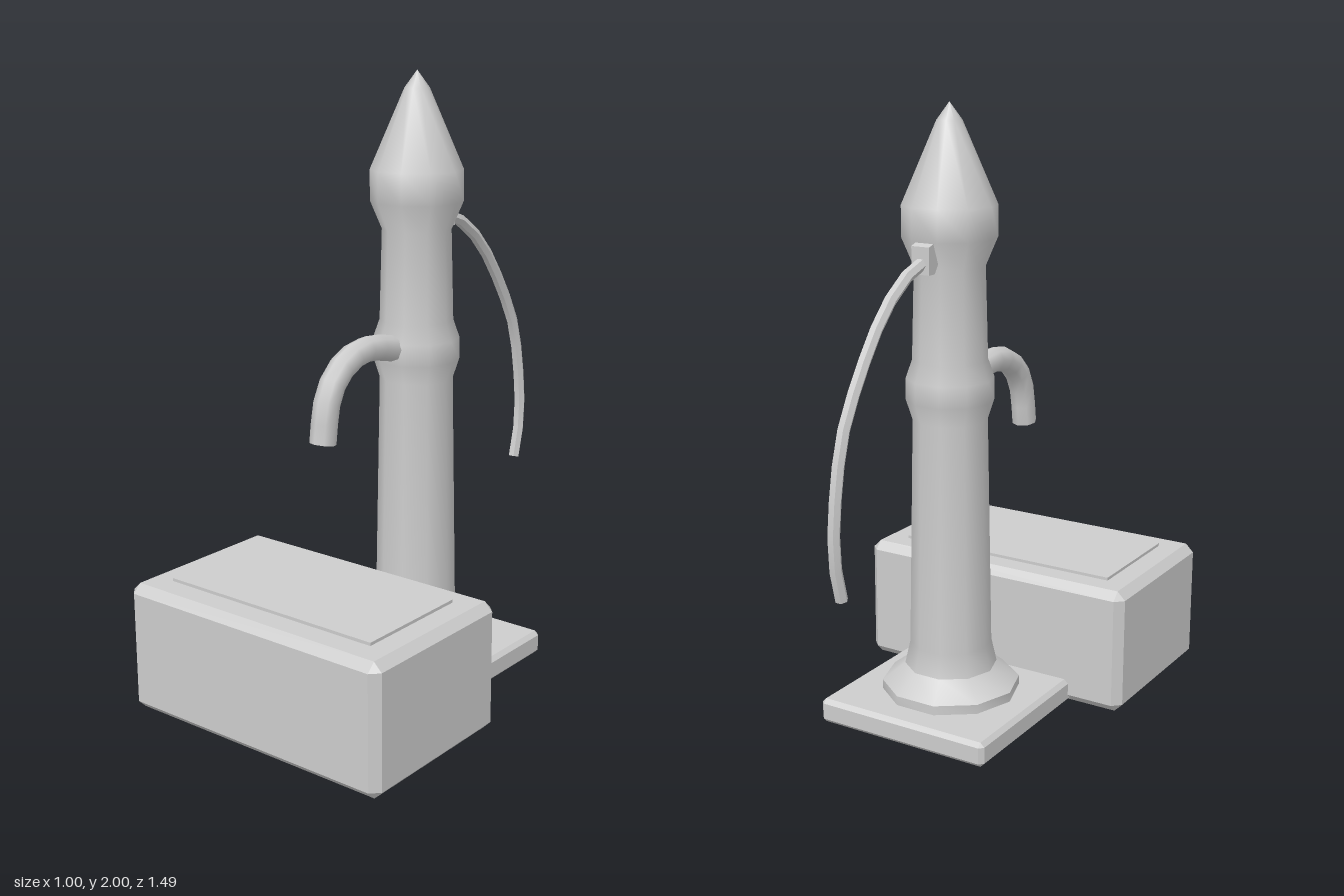
import * as THREE from 'three';
import { ConvexGeometry } from 'three/addons/geometries/ConvexGeometry.js';
import { toCreasedNormals } from 'three/addons/utils/BufferGeometryUtils.js';

const V = (x, y, z) => new THREE.Vector3(x, y, z);

// Box between two corners with every edge cut by a flat chamfer c
function chamferBox(min, max, c) {
  const centre = min.clone().add(max).multiplyScalar(0.5);
  const half = max.clone().sub(min).multiplyScalar(0.5);
  const points = [];
  for (const sx of [-1, 1]) for (const sy of [-1, 1]) for (const sz of [-1, 1]) {
    for (let axis = 0; axis < 3; axis++) {
      const h = half.clone().subScalar(c);
      h.setComponent(axis, half.getComponent(axis));
      points.push(V(sx * h.x, sy * h.y, sz * h.z).add(centre));
    }
  }
  return new ConvexGeometry(points);
}

// Ten-sided turned part from [radius, height] pairs
function turned(profile) {
  return new THREE.LatheGeometry(profile.map(([r, y]) => new THREE.Vector2(r, y)), 10, Math.PI / 10);
}

// Bent rod in the x = 0 plane through [z, y] points, closed at its free end
function bentRod(name, path, segments, radius, sides, faceted, material) {
  const group = new THREE.Group();
  group.name = name;
  const curve = new THREE.CatmullRomCurve3(path.map(([z, y]) => V(0, y, z)));
  let tube = new THREE.TubeGeometry(curve, segments, radius, sides);
  if (faceted) tube = toCreasedNormals(tube, 0.6);
  const rod = new THREE.Mesh(tube, material);
  rod.name = name + 'Rod';
  const cap = new THREE.Mesh(new THREE.CircleGeometry(radius, sides), material);
  cap.name = name + 'End';
  cap.position.copy(curve.getPoint(1));
  cap.lookAt(cap.position.clone().add(curve.getTangent(1)));
  group.add(rod, cap);
  return group;
}

export function createModel() {
  const model = new THREE.Group();
  model.name = 'waterPump';
  const grey = new THREE.MeshStandardMaterial({ color: 0xcccccc });
  grey.name = 'light grey';
  const add = (name, geometry, z = 0) => {
    const mesh = new THREE.Mesh(geometry, grey);
    mesh.name = name;
    mesh.position.z = z;
    model.add(mesh);
  };

  // Trough with its raised top panel
  add('trough', chamferBox(V(-0.5, 0.005, 0.145), V(0.5, 0.43, 0.745), 0.028));
  const panel = new THREE.BoxGeometry(0.8, 0.04, 0.4);
  panel.translate(0, 0.42, 0.443);
  add('troughPanel', panel);

  // Base plate under the pump
  add('basePlate', chamferBox(V(-0.31, 0.005, -0.41), V(0.31, 0.087, 0.3), 0.014));

  // Column: flange, shaft with collar, and pointed head
  const columnZ = -0.1;
  add('flange', toCreasedNormals(turned([[0.227, 0.08], [0.227, 0.118], [0.15, 0.178]]), 0.7), columnZ);
  add('column', turned([
    [0.152, 0.175], [0.134, 0.255], [0.12, 1.01], [0.141, 1.075], [0.141, 1.145],
    [0.12, 1.205], [0.112, 1.5], [0.15, 1.59], [0.15, 1.69], [0.04, 1.945], [0, 2],
  ]), columnZ);

  // Curved spout at the front
  model.add(bentRod('spout', [
    [-0.02, 1.115], [0.05, 1.135], [0.15, 1.152], [0.23, 1.14],
    [0.307, 1.094], [0.352, 1.02], [0.374, 0.893],
  ], 9, 0.042, 8, false, grey));

  // Wedge-shaped bracket and pump handle at the back
  const side = new THREE.Shape([[0.18, 1.51], [0.21, 1.53], [0.235, 1.495], [0.265, 1.495], [0.265, 1.58], [0.24, 1.588], [0.18, 1.54]]
    .map(([d, y]) => new THREE.Vector2(d, y)));
  const bracket = new THREE.ExtrudeGeometry(side, { depth: 0.064, bevelEnabled: false });
  bracket.translate(0, 0, -0.032).rotateY(Math.PI / 2);
  add('handleBracket', bracket);
  model.add(bentRod('handle', [
    [-0.24, 1.533], [-0.29, 1.523], [-0.405, 1.457], [-0.495, 1.37], [-0.588, 1.24],
    [-0.667, 1.1], [-0.71, 0.925], [-0.724, 0.735], [-0.693, 0.593],
  ], 11, 0.02, 6, true, grey));

  return model;
}
